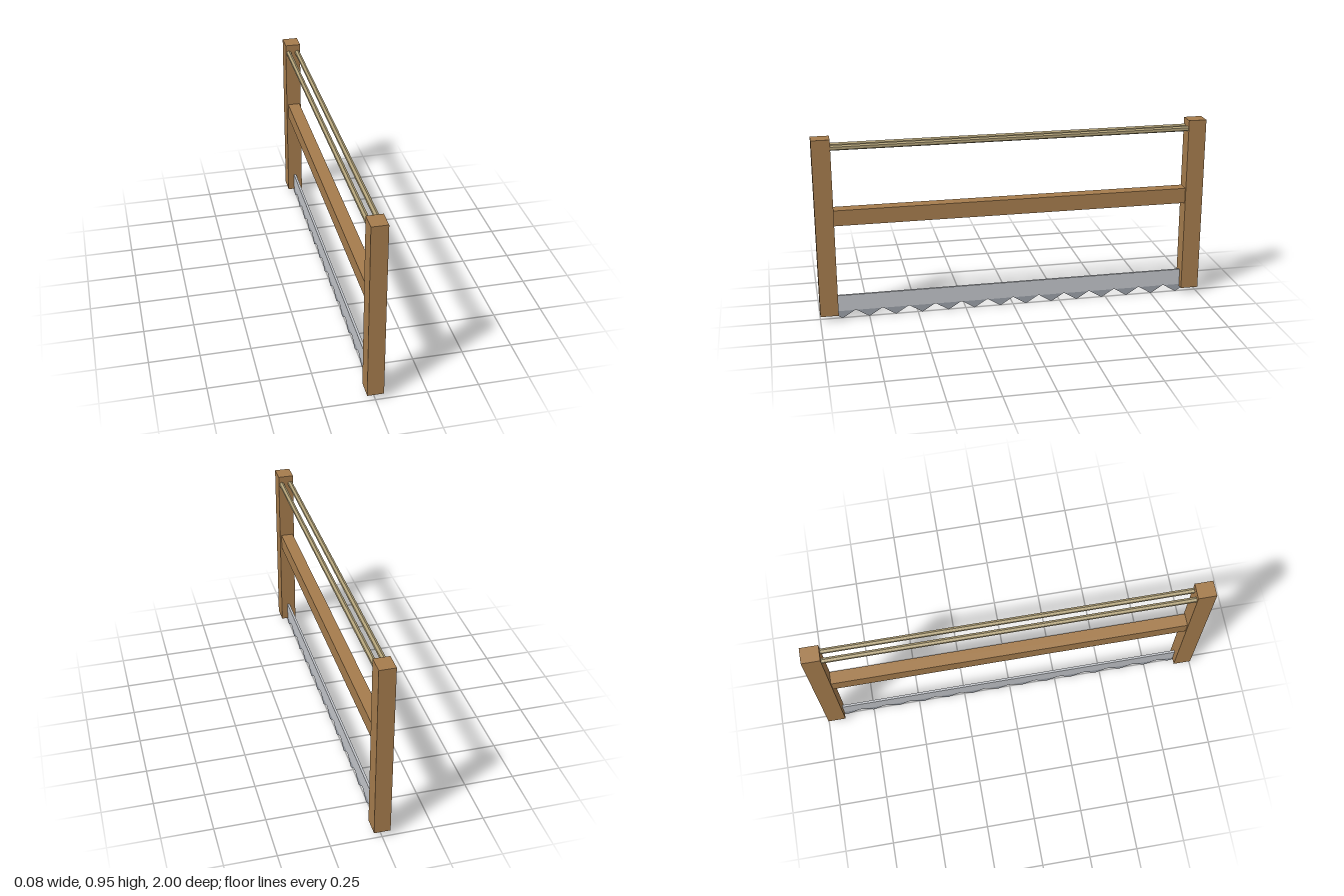
import * as THREE from 'three';

export function createModel() {
  const saw = new THREE.Group();
  saw.name = 'frameSaw';

  const material = (name, color) => {
    const m = new THREE.MeshStandardMaterial({ color });
    m.name = name;
    return m;
  };
  const wood = material('wood', 0xa57c4d);
  const steel = material('steel', 0xc1c4c9);
  const toothSteel = material('toothSteel', 0x9a9fa7);
  const cord = material('cord', 0xb0a077);
  cord.flatShading = true;

  const add = (name, geometry, mat, x, y, z) => {
    const mesh = new THREE.Mesh(geometry, mat);
    mesh.name = name;
    mesh.position.set(x, y, z);
    saw.add(mesh);
    return mesh;
  };

  // Upright posts at the two ends
  const post = new THREE.BoxGeometry(0.08, 0.922, 0.092);
  add('frontPost', post, wood, 0, 0.491, 0.954);
  add('backPost', post, wood, 0, 0.491, -0.954);

  // Stretcher beam between the posts
  add('stretcher', new THREE.BoxGeometry(0.064, 0.08, 1.816), wood, 0, 0.548, 0);

  // Pair of tension cords near the top
  const cordGeometry = new THREE.CylinderGeometry(0.0135, 0.0135, 1.816, 6);
  cordGeometry.rotateX(Math.PI / 2);
  for (const side of [1, -1]) {
    add(side > 0 ? 'leftCord' : 'rightCord', cordGeometry, cord, side * 0.024, 0.907, 0);
  }

  // Blade
  add('blade', new THREE.BoxGeometry(0.012, 0.085, 1.816), steel, 0, 0.0825, 0);

  // Row of triangular teeth along the lower edge
  const count = 14, pitch = 0.1365, depth = 0.01;
  const outline = new THREE.Shape();
  outline.moveTo(-pitch / 2, 0.042);
  outline.lineTo(0, 0);
  outline.lineTo(pitch / 2, 0.042);
  outline.closePath();
  const tooth = new THREE.ExtrudeGeometry(outline, { depth, bevelEnabled: false });
  tooth.translate(0, 0, -depth / 2);
  tooth.rotateY(Math.PI / 2);
  for (let i = 0; i < count; i++) {
    add('tooth' + (i + 1), tooth, toothSteel, 0, 0, (i - (count - 1) / 2) * pitch);
  }

  return saw;
}
